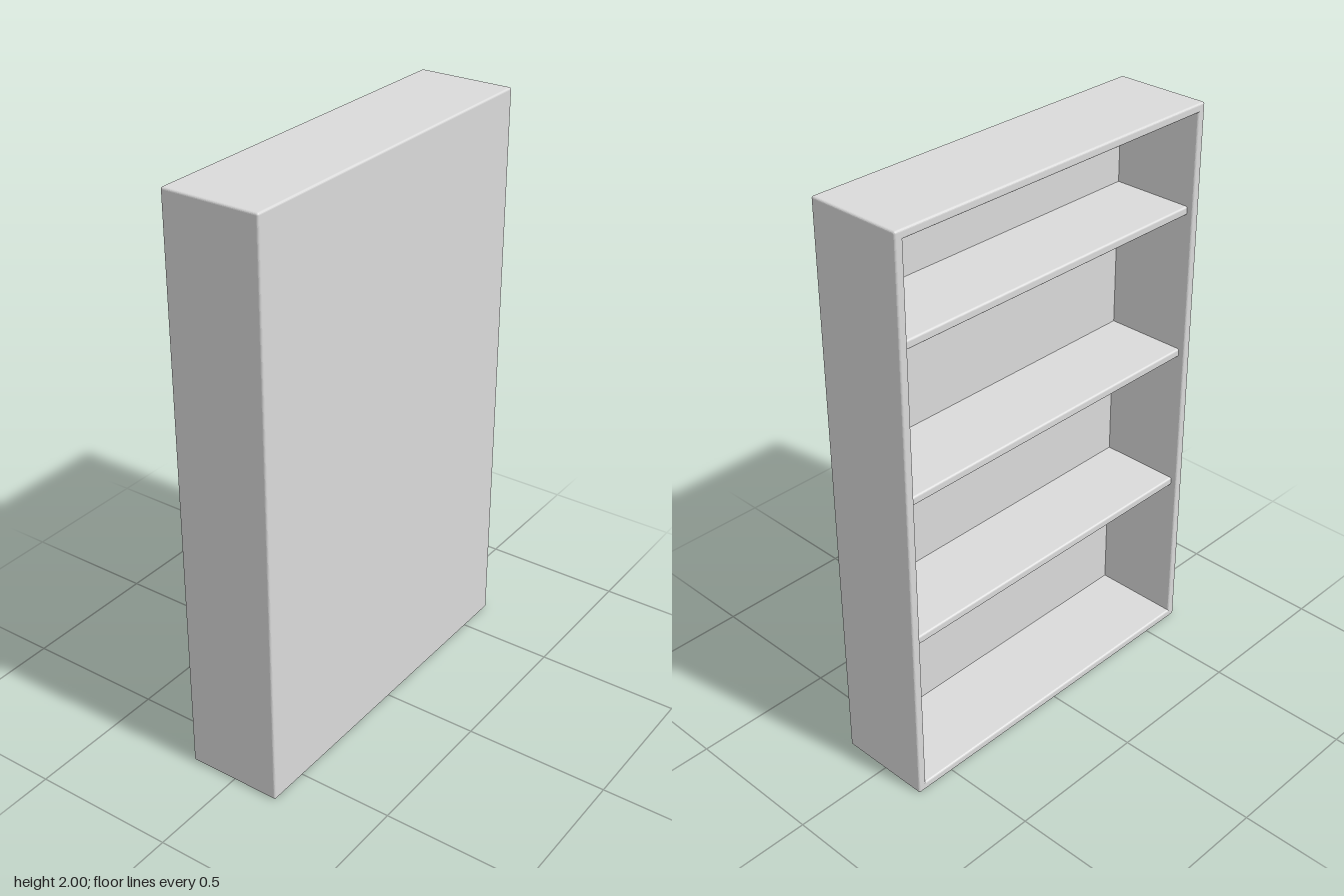
import * as THREE from 'three';

const W = 0.648, H = 2, D = 0.168;   // half width, height, half depth
const T = 0.03, PANEL = 0.024, B = 0.007; // board, panel and edge radius
const STEPS = 4, SHARP = 0.0003;     // steps per rounded edge, near-square corner radius

// Angles of a quarter round
const quarter = Array.from({ length: STEPS + 1 }, (_, k) => (k / STEPS) * Math.PI / 2);

// Rectangle with rounded corners, inset from the outer case, anticlockwise seen from +z
function loop(inset, z, radius) {
  const r = Math.max(radius, SHARP);
  const x = W - inset - r, y = H / 2 - inset - r;
  const corners = [[x, y], [-x, y], [-x, -y], [x, -y]];
  return corners.flatMap(([cx, cy], i) => quarter.map((a) => {
    const t = a + i * Math.PI / 2;
    return new THREE.Vector3(cx + r * Math.cos(t), H / 2 + cy + r * Math.sin(t), z);
  }));
}

// Skin a run of loops, with a cap facing +z on the first and -z on the last
function skin(loops) {
  const pts = [];
  const first = loops[0], last = loops[loops.length - 1], n = first.length;
  for (let i = 1; i < n - 1; i++) {
    pts.push(first[0], first[i], first[i + 1]);
    pts.push(last[0], last[i + 1], last[i]);
  }
  for (let k = 0; k < loops.length - 1; k++) {
    const a = loops[k], b = loops[k + 1];
    for (let i = 0; i < n; i++) {
      const j = (i + 1) % n;
      pts.push(a[i], b[i], b[j], a[i], b[j], a[j]);
    }
  }
  const g = new THREE.BufferGeometry().setFromPoints(pts);
  g.computeVertexNormals();
  return g;
}

// Shelf board: rounded open edge, extruded across the width
function shelfGeometry(width, zOpen, zPanel) {
  const h = T / 2;
  const s = new THREE.Shape();
  s.moveTo(zPanel, -h);
  s.lineTo(zPanel, h);
  s.lineTo(zOpen + B, h);
  s.absarc(zOpen + B, h - B, B, Math.PI / 2, Math.PI, false);
  s.lineTo(zOpen, -h + B);
  s.absarc(zOpen + B, -h + B, B, Math.PI, Math.PI * 1.5, false);
  const g = new THREE.ExtrudeGeometry(s, { depth: width, bevelEnabled: false, curveSegments: STEPS });
  g.translate(0, 0, -width / 2);
  g.rotateY(-Math.PI / 2); // profile x becomes z
  return g;
}

export function createModel() {
  const model = new THREE.Group();
  model.name = 'bookcase';
  const grey = new THREE.MeshStandardMaterial({ color: 0xdadada });
  grey.name = 'light grey';

  // Case: closed panel at +z, outer walls, rim at -z, then the hollow inside
  const bookcase = new THREE.Mesh(skin([
    ...quarter.map((a) => loop(B * (1 - Math.sin(a)), D - B * (1 - Math.cos(a)), B * Math.sin(a))),
    ...quarter.map((a) => loop(B * (1 - Math.cos(a)), -D + B * (1 - Math.sin(a)), B * Math.cos(a))),
    ...quarter.map((a) => loop(T - B * (1 - Math.sin(a)), -D + B * (1 - Math.cos(a)), SHARP)),
    loop(T, D - PANEL, SHARP),
  ]), grey);
  bookcase.name = 'case';
  model.add(bookcase);

  // Three shelves, set back slightly from the open side
  const board = shelfGeometry(2 * (W - T) + 0.002, -D + 0.023, D - PANEL + 0.001);
  for (let i = 0; i < 3; i++) {
    const shelf = new THREE.Mesh(board, grey);
    shelf.name = `shelf${i + 1}`;
    shelf.position.y = 0.596 + i * 0.52;
    model.add(shelf);
  }
  return model;
}
